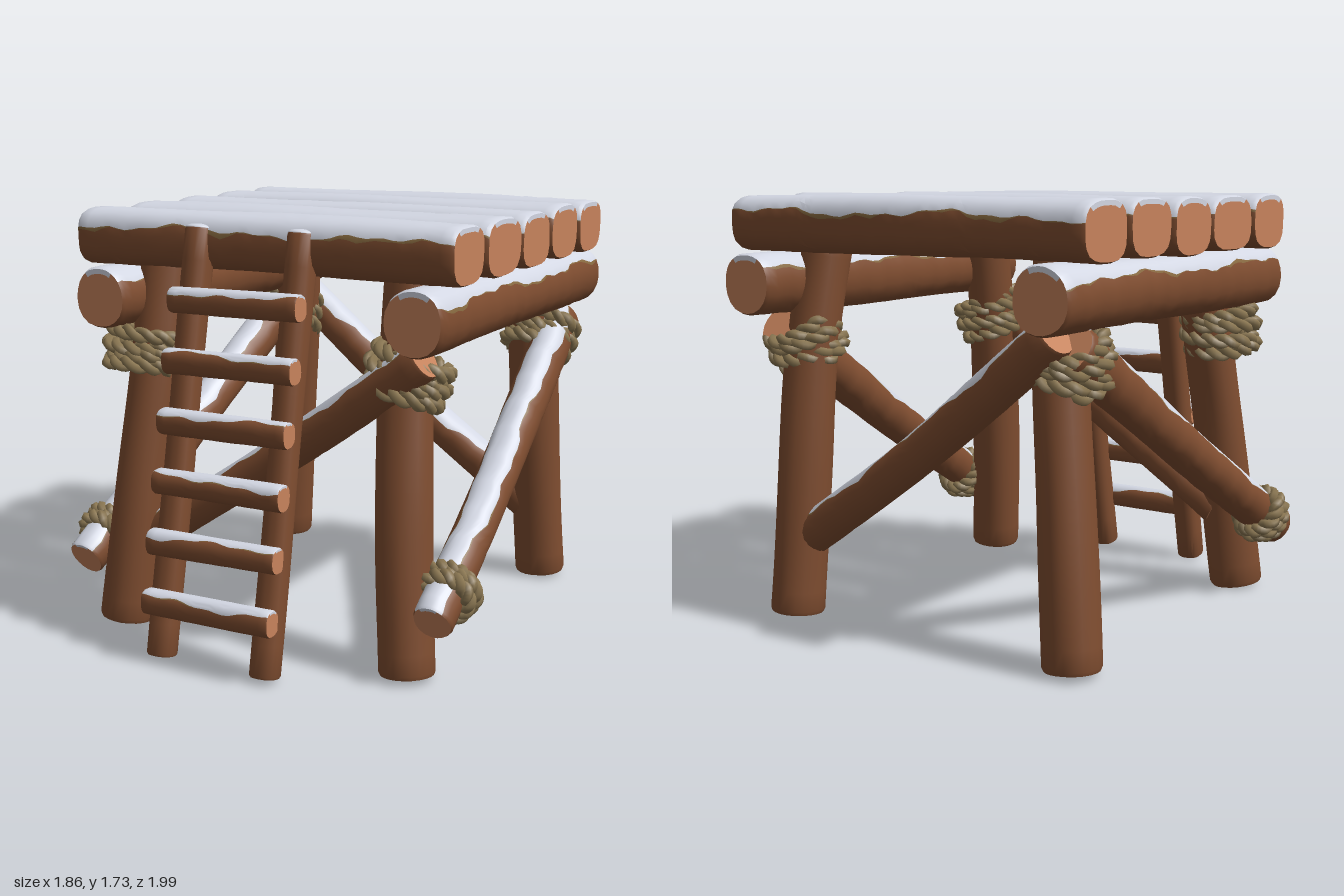
import * as THREE from 'three';
import { toCreasedNormals } from 'three/addons/utils/BufferGeometryUtils.js';

const V = (p) => new THREE.Vector3(...p);
const flat = (name, color) => {
  const m = new THREE.MeshStandardMaterial({ color });
  m.name = name;
  return m;
};

export function createModel() {
  const wood = flat('bark brown', 0x7f4d30);
  const cut = flat('cut wood', 0xc7835c);
  const snow = flat('snow', 0xd3d7e3);
  const fringe = flat('moss fringe', 0x85683f);
  const rope = flat('rope', 0x8c7853);
  const logMaterials = [wood, snow, fringe, cut];

  const model = new THREE.Group();
  model.name = 'snowyWoodenPlatform';

  const wave = (s, k) => 0.5 * Math.sin(s * 7 + k * 2.1) + 0.3 * Math.sin(s * 17 + k * 3.7) + 0.2 * Math.sin(s * 41 + k * 5.3);

  // Log along a path; snow covers the arc above angle `cover` (null = bare wood).
  // w, h: half sizes; n: squareness of the section; taper: end scale; k: seed.
  function log(name, path, { w, h = w, n = 2, cover = null, jag = 0.2, band = 0.09, taper = 1, wob = 0.03, k = 1, rings = 30, up = [0, 1, 0], parent = model }) {
    const curve = new THREE.CatmullRomCurve3(path.map(V));
    const len = curve.getLength();
    const bev = Math.min(w, h) * 0.14 / len;

    // Profile: end cap, bevel, body, bevel, end cap
    const profile = [[0, 0], [0, 0.5], [0, 0.78], [0, 0.94]];
    for (let i = 0; i <= rings; i++) profile.push([bev + (1 - 2 * bev) * i / rings, 1]);
    profile.push([1, 0.94], [1, 0.78], [1, 0.5], [1, 0]);

    // Angles round the section, with the snow edge following a wavy line
    const angles = (s) => {
      if (cover === null) return Array.from({ length: 20 }, (_, j) => j / 20 * Math.PI * 2);
      const a = cover + jag * wave(s * len, k);
      const b = Math.PI - cover - jag * wave(s * len, k + 4);
      const f = band * Math.max(0.12, wave(s * len * 1.3, k + 9) + 0.3);
      const out = [];
      for (let j = 0; j < 10; j++) out.push(a + (b - a) * j / 10);
      out.push(b);
      const lo = b + f, hi = a - f + Math.PI * 2;
      for (let j = 0; j <= 14; j++) out.push(lo + (hi - lo) * j / 14);
      return out;
    };

    const pos = [];
    const faces = [[], [], [], []];
    let N = 0;
    profile.forEach(([s, scale]) => {
      const c = curve.getPointAt(s), t = curve.getTangentAt(s);
      const u = V(up).cross(t).normalize();
      const v = t.clone().cross(u);
      const list = angles(s);
      N = list.length;
      const size = scale * (1 + (taper - 1) * s);
      list.forEach((a) => {
        const x = Math.cos(a), y = Math.sin(a);
        const r = size / Math.pow(Math.abs(x) ** n + Math.abs(y) ** n, 1 / n)
          * (1 + wob * Math.sin(s * len * 5 + k * 1.9 + Math.round(x * 1.4)) + wob * 0.6 * Math.sin(a * 3 + s * len * 3 + k));
        const p = c.clone().addScaledVector(u, x * r * w).addScaledVector(v, y * r * h);
        pos.push(p.x, p.y, p.z);
      });
    });
    const last = profile.length - 2;
    for (let i = 0; i <= last; i++) for (let j = 0; j < N; j++) {
      const j2 = (j + 1) % N;
      const a = i * N + j, b = i * N + j2, c = b + N, d = a + N;
      const side = cover === null ? 0 : j < 10 ? 1 : (j === 10 || j === N - 1) ? 2 : 0;
      const depth = Math.min(i, last - i);
      const capSnow = depth === 2 && cover !== null && j > 1 && j < 8;
      const m = depth >= 3 ? side : capSnow ? 1 : 3;
      // The first and last rings close to a point
      if (i !== 0) faces[m].push(a, b, c);
      else faces[m].push(a, c, d);
      if (i !== 0 && i !== last) faces[m].push(a, c, d);
    }
    const geo = new THREE.BufferGeometry();
    geo.setAttribute('position', new THREE.Float32BufferAttribute(pos, 3));
    geo.setIndex(faces.flat());
    let start = 0;
    faces.forEach((f, m) => {
      if (f.length) geo.addGroup(start, f.length, m);
      start += f.length;
    });
    const mesh = new THREE.Mesh(toCreasedNormals(geo, 0.7), logMaterials);
    mesh.name = name;
    parent.add(mesh);
  }

  // Rope binding: several coils, each of two twisted strands
  function binding(name, at, axis, rx, rz, coils, pitch) {
    const g = new THREE.Group();
    g.name = name;
    for (let c = 0; c < coils; c++) for (let s = 0; s < 2; s++) {
      const pts = [];
      for (let i = 0; i < 72; i++) {
        const a = i / 72 * Math.PI * 2, tw = a * 7 + s * Math.PI;
        const out = 0.015 * Math.cos(tw) + 0.01 * Math.sin(c * 2.4 + a);
        const y = (c - (coils - 1) / 2) * pitch + 0.015 * Math.sin(tw) + 0.014 * Math.sin(a + c * 1.7);
        pts.push(new THREE.Vector3((rx + out) * Math.cos(a), y, (rz + out) * Math.sin(a)));
      }
      const strand = new THREE.TubeGeometry(new THREE.CatmullRomCurve3(pts, true), 84, 0.02, 5, true);
      const mesh = new THREE.Mesh(strand, rope);
      mesh.name = 'ropeStrand';
      g.add(mesh);
    }
    g.position.set(...at);
    g.quaternion.setFromUnitVectors(new THREE.Vector3(0, 1, 0), V(axis).normalize());
    model.add(g);
  }

  // Deck planks: [centre z, half depth, centre y]
  [[0.505, 0.143, 1.605], [0.172, 0.172, 1.605], [-0.16, 0.148, 1.602], [-0.478, 0.152, 1.608], [-0.797, 0.143, 1.605]].forEach(([z, d, y], i) => {
    log('deckPlank', [[-0.84, y, z], [0, y + 0.004, z + 0.008 * Math.sin(i * 2)], [0.83, y, z]],
      { w: d, h: 0.112, n: 3.2, cover: 0.42, jag: 0.2, band: 0.16, wob: 0.02, k: i * 1.7 + 1, rings: 44 });
  });

  for (const s of [-1, 1]) {
    // Side beams under the deck
    log('sideBeam', [[s * 0.695, 1.37, -0.995], [s * 0.695, 1.37, 0.7]],
      { w: 0.12, h: 0.125, n: 2.2, cover: 0.55, jag: 0.2, band: 0.12, wob: 0.02, k: 5 + s, rings: 40 });
    // Legs, leaning inwards
    log('frontLeg', [[s * 0.655, 0.008, 0.63], [s * 0.61, 0.6, 0.57], [s * 0.57, 1.1, 0.49], [s * 0.56, 1.56, 0.41]],
      { w: 0.113, taper: 0.92, k: 8 + s, up: [0, 0, 1], rings: 20 });
    log('backLeg', [[s * 0.675 - 0.035, 0.01, -0.805], [s * 0.64 - 0.02, 0.6, -0.765], [s * 0.6, 1.1, -0.72], [s * 0.565, 1.56, -0.65]],
      { w: 0.113, taper: 0.92, k: 11 + s, up: [0, 0, 1], rings: 20 });
    // Side braces, low in front and high at the back
    log('sideBrace', [[s * 0.8, 0.265, 0.715], [s * 0.76, 0.71, -0.04], [s * 0.7, 1.19, -0.8]],
      { w: 0.077, h: 0.086, cover: 0.8, jag: 0.35, taper: 1.14, k: 15 + s * 2, rings: 34 });
    binding('lowerBinding', [s * 0.8, 0.345, 0.56], [-s * 0.07, 0.75, -1.53], 0.087, 0.09, 3, 0.042);
    binding('backBinding', [s * 0.645, 1.13, -0.715], [s * 0.15, 1, -0.5], 0.135, 0.122, 4, 0.045);
    binding('frontBinding', [s * 0.59 - (s < 0 ? 0.03 : 0), 1.14, 0.51], s > 0 ? [0.25, 1, -0.1] : [0.03, 1, -0.12], 0.142, 0.122, 4, 0.046);
  }

  // Cross braces at front and back
  log('frontBrace', [[-0.6, 0.34, 0.56], [0.05, 0.77, 0.57], [0.7, 1.23, 0.6]], { w: 0.08, cover: 0.85, jag: 0.4, k: 21 });
  log('backBrace', [[0.62, 0.31, -0.77], [0, 0.73, -0.8], [-0.66, 1.24, -0.84]], { w: 0.085, cover: 0.8, jag: 0.4, k: 24 });

  // Ladder leaning on the front plank
  const ladder = new THREE.Group();
  ladder.name = 'ladder';
  model.add(ladder);
  for (const [x0, x1] of [[-0.275, -0.262], [0.2, 0.197]]) {
    log('ladderRail', [[x0, 0.01, 0.92], [x1, 1.665, 0.612]],
      { w: 0.056, n: 2.6, k: 30 + x0, up: [0, 0, 1], rings: 14, parent: ladder });
    // Snow resting on the rail top
    const cap = new THREE.Mesh(new THREE.SphereGeometry(0.058, 16, 8, 0, Math.PI * 2, 0, Math.PI / 2), snow);
    cap.name = 'railSnow';
    cap.scale.set(1, 0.3, 1);
    cap.position.set(x1, 1.664, 0.614);
    cap.rotation.x = -0.18;
    ladder.add(cap);
  }
  for (let i = 0; i < 6; i++) {
    const y = 0.235 + i * 0.232, z = 0.948 - i * 0.0445;
    log('ladderRung', [[-0.322, y, z], [0.252, y + 0.004, z]],
      { w: 0.046, h: 0.051, n: 2.6, cover: 0.7, jag: 0.4, k: 33 + i * 1.3, rings: 18, parent: ladder });
  }
  return model;
}
